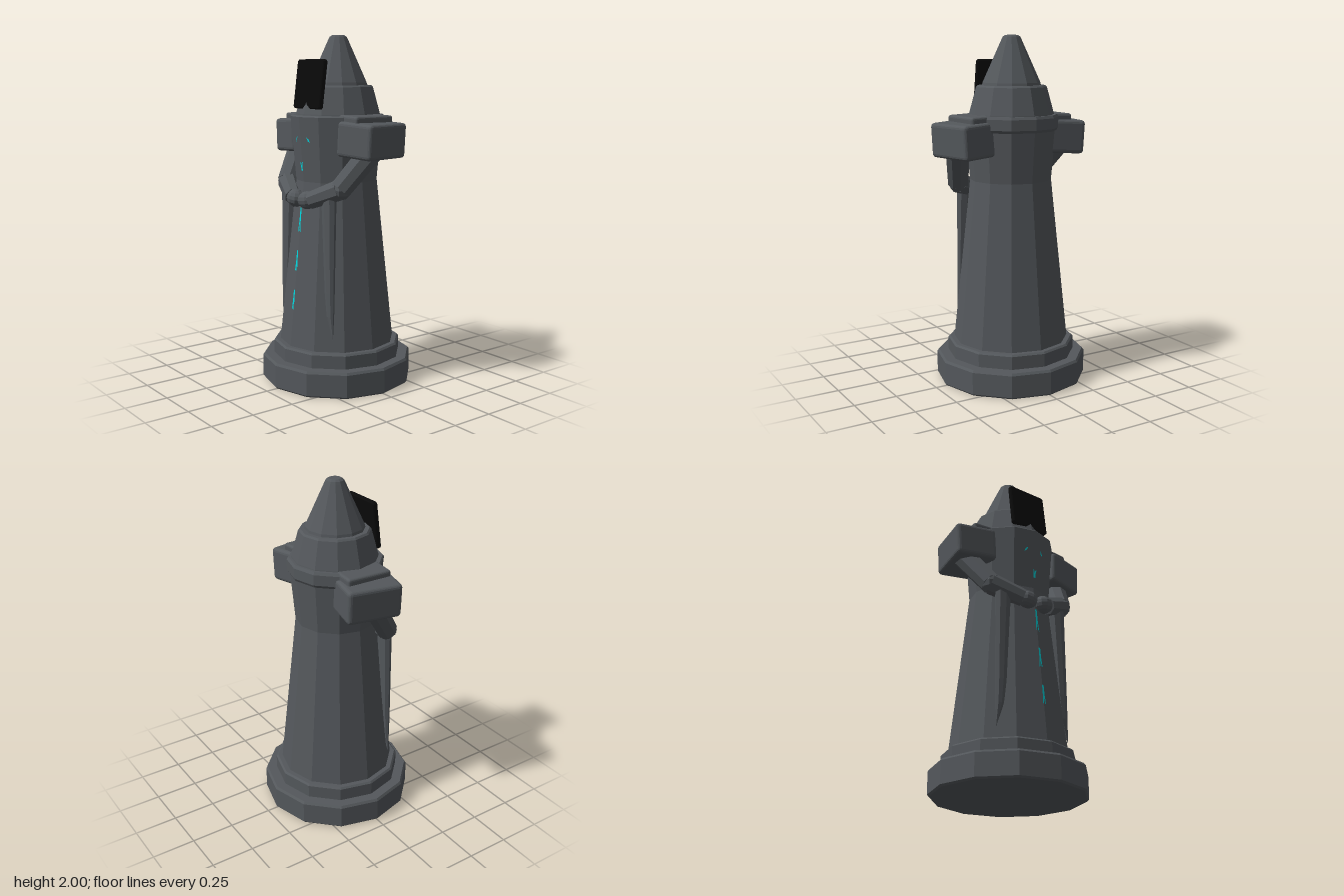
import * as THREE from 'three';
import { RoundedBoxGeometry } from 'three/addons/geometries/RoundedBoxGeometry.js';

const SIDES = 12;

export function createModel() {
  const stone = new THREE.MeshStandardMaterial({ name: 'dark stone', color: 0x54585c, flatShading: true });
  const black = new THREE.MeshStandardMaterial({ name: 'black', color: 0x0a0a0a, flatShading: true });
  const cyan = new THREE.MeshStandardMaterial({ name: 'glowing cyan', color: 0x00d5dc, side: THREE.DoubleSide });
  const model = new THREE.Group();
  model.name = 'robedStatue';

  function add(name, geometry, material = stone, position = [0, 0, 0], rotation = [0, 0, 0]) {
    const mesh = new THREE.Mesh(geometry, material);
    mesh.name = name;
    mesh.position.set(...position);
    mesh.rotation.set(...rotation);
    model.add(mesh);
    return mesh;
  }
  const lathe = (profile, start = 0, length = Math.PI * 2, sides = SIDES) =>
    new THREE.LatheGeometry(profile.map(([r, y]) => new THREE.Vector2(r, y)), sides, start, length);

  // Faceted tapered limb between two points
  function limb(name, a, b, ra, rb, sides = 8) {
    const from = new THREE.Vector3(...a), to = new THREE.Vector3(...b);
    const dir = to.clone().sub(from);
    const mesh = add(name, new THREE.CylinderGeometry(rb, ra, dir.length(), sides), stone);
    mesh.position.copy(from).add(to).multiplyScalar(0.5);
    mesh.quaternion.setFromUnitVectors(new THREE.Vector3(0, 1, 0), dir.normalize());
  }

  // Plinth, step and robe
  add('plinth', lathe([[0, 0], [0.43, 0], [0.44, 0.01], [0.44, 0.137], [0.43, 0.15], [0, 0.15]]));
  add('step', lathe([[0, 0.14], [0.373, 0.14], [0.373, 0.225], [0.363, 0.235], [0, 0.235]]));
  add('robe', lathe([[0.337, 0.22], [0.235, 1.18], [0.267, 1.545], [0.26, 1.553], [0, 1.553]]));

  // Shawl collar round the back
  add('collar', lathe([[0.24, 1.47], [0.268, 1.465], [0.277, 1.48], [0.277, 1.54], [0.268, 1.555], [0.22, 1.555]],
    Math.PI / 2, Math.PI, 6));

  // Hood brim and pointed crown
  add('hoodBrim', lathe([[0.246, 1.54], [0.243, 1.56], [0.202, 1.71], [0.192, 1.72], [0, 1.72]]), stone, [0, 0, -0.01]);
  add('hoodCrown', lathe([[0.17, 1.71], [0.165, 1.735], [0.057, 1.975], [0.05, 1.99], [0.035, 2], [0, 2]]), stone, [0, 0, -0.01]);

  // Leaning face plate with a notch in its lower edge
  const plate = new THREE.Shape([
    [-0.113, -0.133], [-0.035, -0.133], [0, -0.112], [0.035, -0.133], [0.113, -0.133], [0.12, -0.126],
    [0.12, 0.126], [0.113, 0.133], [-0.113, 0.133], [-0.12, 0.126], [-0.12, -0.126],
  ].map(([x, y]) => new THREE.Vector2(x, y)));
  const plateGeometry = new THREE.ExtrudeGeometry(plate, {
    depth: 0.02, bevelThickness: 0.005, bevelSize: 0.005, bevelSegments: 1,
  }).translate(0, 0, -0.01);
  add('facePlate', plateGeometry, black, [0, 1.726, 0.187], [-0.13, 0, 0]);

  for (const s of [1, -1]) {
    const side = s > 0 ? 'left' : 'right';

    // Shoulder block with its strap
    add(side + 'Shoulder', new RoundedBoxGeometry(0.245, 0.195, 0.315, 2, 0.022), stone,
      [0.303 * s, 1.424, -0.01], [0, 0.19 * s, -0.06 * s]);
    add(side + 'ShoulderStrap', new RoundedBoxGeometry(0.17, 0.06, 0.27, 2, 0.015), stone,
      [0.25 * s, 1.528, -0.005], [0, 0.04 * s, -0.04 * s]);

    // Bent arm and folded hand
    const elbow = [0.253 * s, 1.155, 0.17];
    limb(side + 'UpperArm', [0.335 * s, 1.36, 0.02], elbow, 0.068, 0.062);
    add(side + 'Elbow', new THREE.SphereGeometry(0.06, 8, 6), stone, elbow);
    limb(side + 'Forearm', elbow, [0.085 * s, 1.085, 0.245], 0.062, 0.052);
    const hand = add(side + 'Hand', new THREE.SphereGeometry(0.055, 10, 8), stone,
      [0.058 * s, 1.083, 0.25], [0, 0.2 * s, 0.15 * s]);
    hand.scale.set(1.12, 0.93, 0.95);

    // Hanging sleeve, narrowing to a point at the hem
    const sleeve = new THREE.CylinderGeometry(1, 1, 1, 8, 6);
    const p = sleeve.attributes.position;
    for (let i = 0; i < p.count; i++) {
      const t = 0.5 - p.getY(i);
      const taper = t < 0.8 ? 1 - 0.5 * t : (1 - t) * 3;
      const halfX = 0.052 * taper, halfZ = 0.036 * taper;
      p.setXYZ(i, s * (0.245 - halfX) + p.getX(i) * halfX,
        1.12 - 0.82 * t, 0.203 + 0.012 * t + p.getZ(i) * halfZ);
    }
    add(side + 'Sleeve', sleeve);

    // Slanted eye mark
    const eye = new THREE.Shape([[-0.012, -0.016], [0.004, -0.006], [0.014, 0.016], [-0.001, 0.006]]
      .map(([x, y]) => new THREE.Vector2(-x * s, y)));
    add(side + 'Eye', new THREE.ShapeGeometry(eye), cyan,
      [0.056 * s, 1.418, 0.243], [0.085, 0.26 * s, 0]);
  }

  // Split marks down the front ridge of the robe
  const mark = (w, h) => new THREE.ShapeGeometry(new THREE.Shape([
    [-0.5, 0.5], [0.5, 0.5], [0.55, 0], [0.95, -0.5], [0.35, -0.45], [0, -0.15], [-0.35, -0.45], [-0.95, -0.5], [-0.55, 0],
  ].map(([x, y]) => new THREE.Vector2(x * w, y * h))));
  add('chestMark', mark(0.013, 0.05).rotateZ(Math.PI), cyan, [0, 1.268, 0.248], [0.085, 0, 0]);
  for (const [y, h] of [[0.965, 0.14], [0.73, 0.12], [0.505, 0.115]]) {
    const r = 0.337 - (y - 0.22) * 0.10625;
    add('robeMark', mark(0.011, h), cyan, [0, y, r + 0.004], [-0.106, 0, 0]);
  }
  return model;
}
